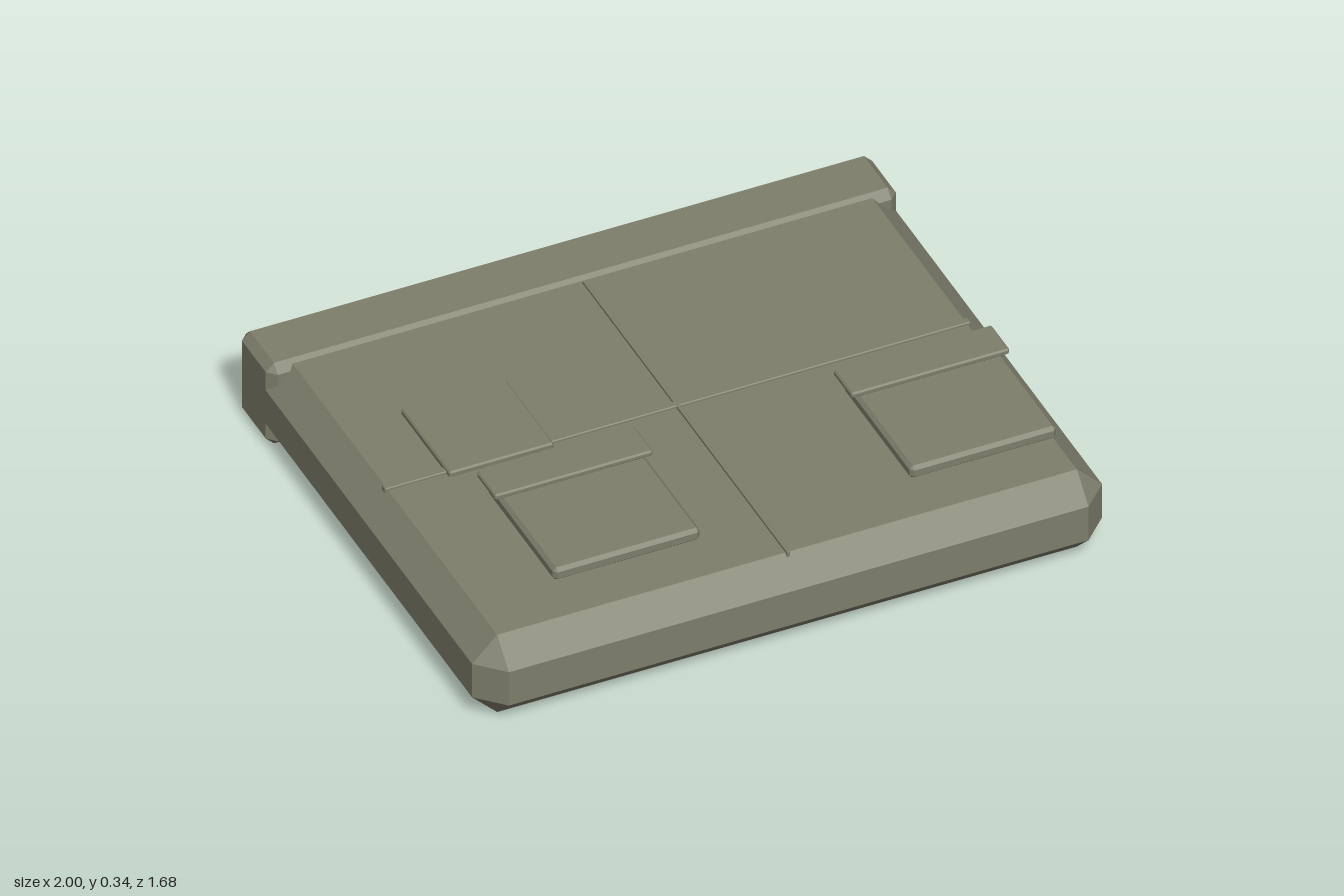
import * as THREE from 'three';
import { ConvexGeometry } from 'three/addons/geometries/ConvexGeometry.js';

// Box between two corners with every edge and corner cut at 45 degrees
function chamferBox(min, max, cut) {
  const points = [];
  const centre = min.map((v, i) => (v + max[i]) / 2);
  const half = min.map((v, i) => (max[i] - v) / 2);
  for (const sx of [-1, 1]) for (const sy of [-1, 1]) for (const sz of [-1, 1]) {
    const signs = [sx, sy, sz];
    // one point per face meeting at this corner
    for (let face = 0; face < 3; face++) {
      points.push(new THREE.Vector3(...signs.map(
        (s, i) => centre[i] + s * (half[i] - (i === face ? 0 : cut)))));
    }
  }
  return new ConvexGeometry(points);
}

export function createModel() {
  const model = new THREE.Group();
  model.name = 'armourPanel';
  const olive = new THREE.MeshStandardMaterial({ color: 0x7e7e6c, flatShading: true });
  olive.name = 'olive grey';

  const add = (name, min, max, cut) => {
    const mesh = new THREE.Mesh(chamferBox(min, max, cut), olive);
    mesh.name = name;
    model.add(mesh);
  };

  // Thick slab with broad bevels, and the raised bar across its back
  add('slab', [-1, 0, -0.8], [1, 0.282, 0.84], 0.08);
  add('backBar', [-1, 0, -0.84], [1, 0.294, -0.625], 0.026);

  // Thin crossing ridges
  add('lengthRidge', [-0.005, 0.27, -0.63], [0.005, 0.29, 0.77], 0.001);
  add('crossRidge', [-0.93, 0.27, -0.01], [0.93, 0.29, 0.015], 0.003);

  // Two raised pads, each with an overhanging strip along its rear edge
  for (const [side, x] of [['right', -0.433], ['left', 0.699]]) {
    add(side + 'Pad', [x - 0.233, 0.278, 0.145], [x + 0.233, 0.322, 0.603], 0.011);
    add(side + 'PadStrip', [x - 0.251, 0.322, 0.11], [x + 0.251, 0.342, 0.237], 0.005);
  }

  // Small flat plate
  add('smallPlate', [-0.735, 0.27, -0.297], [-0.403, 0.3, 0.035], 0.005);

  return model;
}
